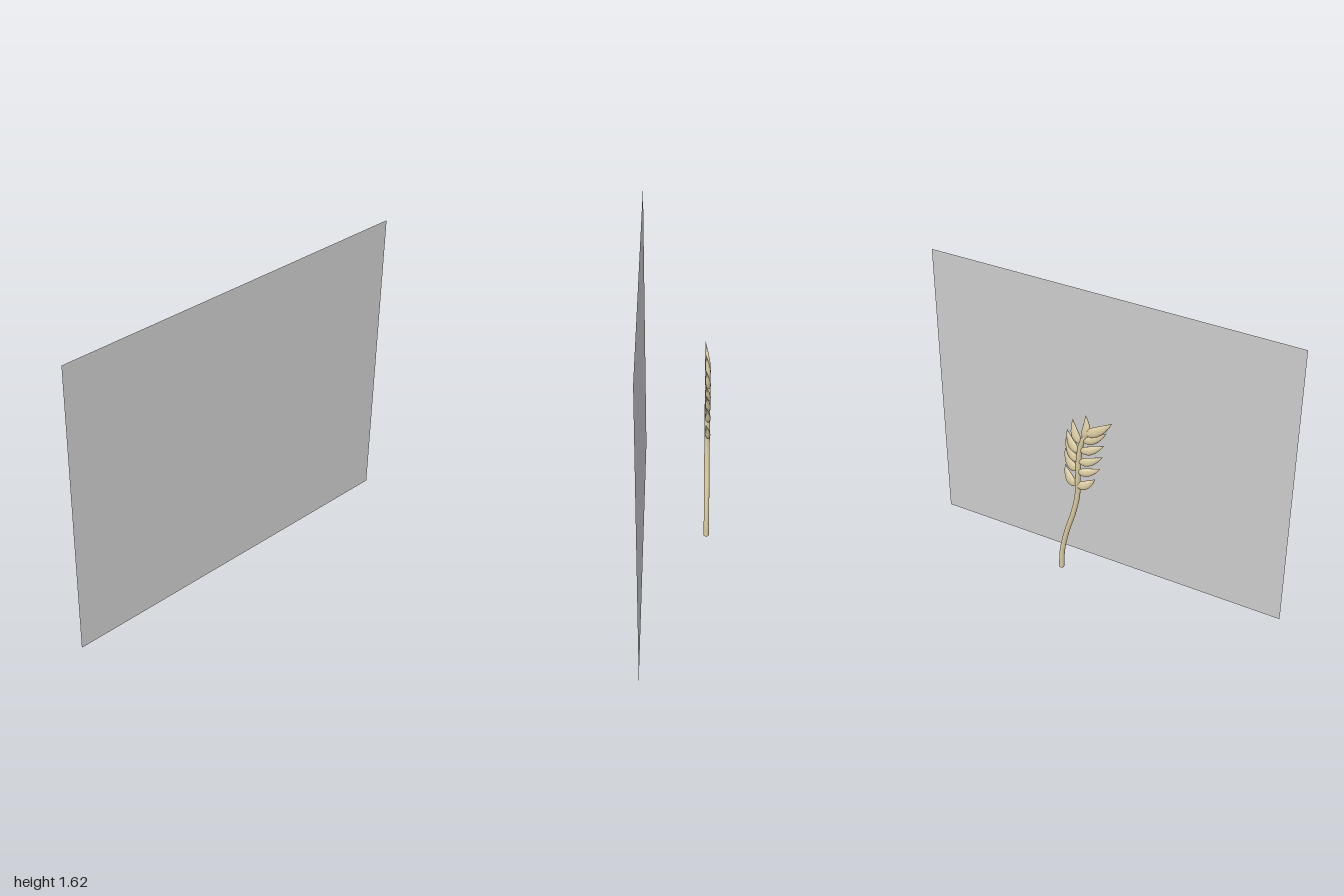
import * as THREE from 'three';

const panelGrey = new THREE.MeshStandardMaterial({ color: 0xcccccc, side: THREE.DoubleSide });
panelGrey.name = 'panel grey';
const straw = new THREE.MeshStandardMaterial({ color: 0xd9caa0 });
straw.name = 'straw';

const Z = -0.155; // depth of the wheat stalk

function add(parent, name, geometry, material) {
  const mesh = new THREE.Mesh(geometry, material);
  mesh.name = name;
  parent.add(mesh);
  return mesh;
}

// Teardrop husk from base to tip, flattened in z and bowed outwards
function grain(base, tip, width) {
  const a = new THREE.Vector3(base[0], base[1], Z - 0.006);
  const b = new THREE.Vector3(tip[0], tip[1], Z + 0.009);
  const dir = b.clone().sub(a);
  const length = dir.length();
  const profile = [[0, 0], [0.55, 0.05], [0.88, 0.16], [1, 0.3], [0.86, 0.5], [0.55, 0.72], [0.24, 0.88], [0, 1]]
    .map(([r, t]) => new THREE.Vector2(r * width, t * length));
  const g = new THREE.LatheGeometry(profile, 12);
  g.scale(1, 1, 0.013 / width);
  const p = g.attributes.position;
  const bow = Math.sign(dir.x) * 0.01;
  for (let i = 0; i < p.count; i++) {
    const t = p.getY(i) / length;
    p.setX(i, p.getX(i) + bow * 4 * t * (1 - t));
  }
  g.computeVertexNormals();
  g.rotateX(Math.asin(dir.z / length));
  g.rotateZ(-Math.atan2(dir.x, dir.y));
  g.translate(a.x, a.y, a.z);
  return g;
}

export function createModel() {
  const model = new THREE.Group();

  // Flat upright panel in front
  add(model, 'panel', new THREE.PlaneGeometry(2, 1.62), panelGrey).position.set(0, 0.81, 0.175);

  const wheat = new THREE.Group();
  wheat.name = 'wheat';
  model.add(wheat);

  // Curved stem with a flat cut at the foot
  const path = new THREE.CatmullRomCurve3([
    [0.092, 0.162], [0.086, 0.27], [0.058, 0.41], [0.02, 0.54], [-0.004, 0.66],
    [-0.008, 0.77], [-0.013, 0.885], [-0.027, 0.98], [-0.06, 1.06],
  ].map(([x, y]) => new THREE.Vector3(x, y, Z)));
  add(wheat, 'stem', new THREE.TubeGeometry(path, 48, 0.0135, 12), straw);
  const foot = add(wheat, 'stemFoot', new THREE.CircleGeometry(0.0135, 12), straw);
  foot.position.copy(path.getPoint(0));
  foot.rotation.x = Math.PI / 2;

  // Grains: base, tip, half width
  const leftGrains = [
    [[0.006, 0.718], [0.067, 0.825], 0.026],
    [[0.0, 0.812], [0.067, 0.922], 0.026],
    [[-0.007, 0.87], [0.062, 0.988], 0.024],
    [[-0.01, 0.925], [0.055, 1.04], 0.024],
    [[-0.02, 0.985], [0.022, 1.108], 0.024],
    [[-0.045, 1.025], [-0.047, 1.153], 0.023],
  ];
  const rightGrains = [
    [[-0.005, 0.72], [-0.1, 0.79], 0.025],
    [[-0.012, 0.81], [-0.128, 0.863], 0.024],
    [[-0.018, 0.872], [-0.14, 0.937], 0.024],
    [[-0.025, 0.942], [-0.148, 1.007], 0.024],
    [[-0.04, 1.005], [-0.16, 1.083], 0.024],
    [[-0.052, 1.05], [-0.19, 1.15], 0.027],
  ];
  for (const [base, tip, w] of leftGrains) add(wheat, 'leftGrain', grain(base, tip, w), straw);
  for (const [base, tip, w] of rightGrains) add(wheat, 'rightGrain', grain(base, tip, w), straw);

  return model;
}
